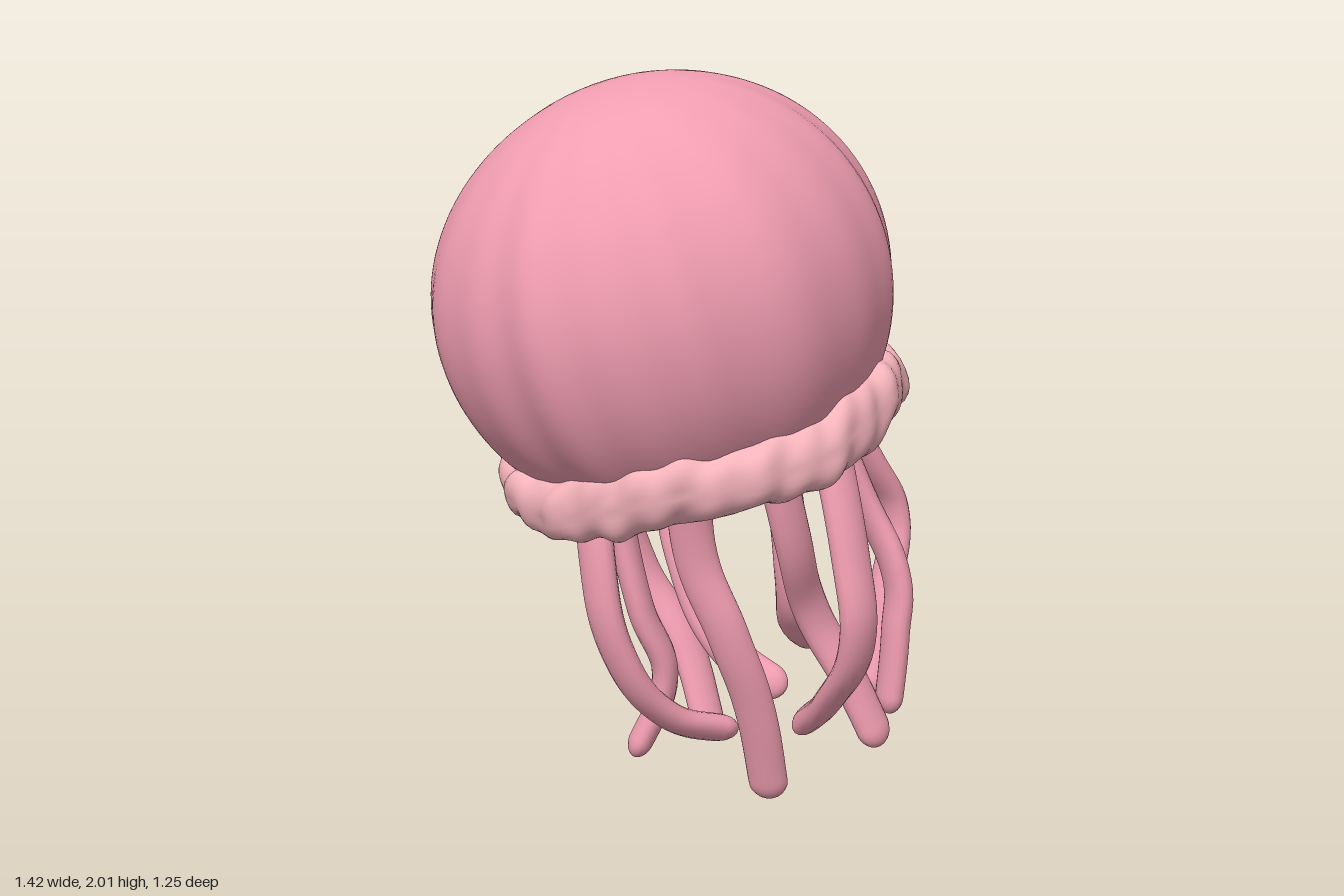
import * as THREE from 'three';
import { ParametricGeometry } from 'three/addons/geometries/ParametricGeometry.js';

const TAU = Math.PI * 2;
const pink = new THREE.MeshStandardMaterial({ color: 0xf09db0 });
const palePink = new THREE.MeshStandardMaterial({ color: 0xf5b3bb });

function surface(name, fn, slices, stacks, material) {
  const mesh = new THREE.Mesh(new ParametricGeometry(fn, slices, stacks), material);
  mesh.name = name;
  return mesh;
}

// Softly ribbed dome, local y along the bell's axis, rim at y = 0
function bellPoint(u, v, target) {
  const a = u * TAU;
  const phi = 0.0001 + v * 2.28;
  const ribs = 0.009 * Math.sin(17 * a + 1.2 * Math.sin(3 * a))
    + 0.009 * Math.sin(11 * a + 2)
    + 0.009 * Math.sin(6 * a + 1);
  const r = 0.622 * Math.sin(phi) * (1 + ribs * Math.sin(phi));
  const c = Math.cos(phi);
  const lean = 0.02 * Math.sin(phi) * Math.cos(a);
  target.set(r * Math.cos(a), 0.4 + (c > 0 ? (0.575 + lean) * c : 0.62 * c), r * Math.sin(a));
}

// Nearly flat underside closing the bell
function undersidePoint(u, v, target) {
  const a = u * TAU;
  const r = 0.5 * (1 - 0.9998 * v);
  target.set(r * Math.cos(a), 0.05 * (1 - (r / 0.5) ** 2), r * Math.sin(a));
}

// Broad lumpy ring around the opening
function rimPoint(u, v, target) {
  const s = u * TAU;
  const a = v * TAU;
  const lumps = 1
    + 0.05 * Math.sin(13 * a + 2 * s)
    + 0.04 * Math.sin(22 * a - s + 1 + Math.sin(3 * a))
    + 0.04 * Math.sin(29 * a + 3 * s + 2)
    + 0.06 * Math.sin(5 * a - 2 * s);
  const squared = (x) => Math.sign(x) * Math.abs(x) ** 0.8;
  const r = 0.482 + 0.09 * lumps * squared(Math.cos(s));
  const y = 0.092 * lumps * squared(Math.sin(s)) + 0.01 * Math.sin(4 * a);
  target.set(r * Math.cos(a), y, r * Math.sin(a));
}

// Flattened, round-ended strand that is widest across the outward direction
function makeTentacle(points) {
  const pts = points.map((p) => new THREE.Vector3(...p));
  pts[0].y = 1.11 + 0.29 * pts[0].x;
  const curve = new THREE.CatmullRomCurve3(pts, false, 'catmullrom', 0.6);
  const length = curve.getLength();
  const out = new THREE.Vector3(pts[1].x - 0.06, 0, pts[1].z).normalize();
  const side = new THREE.Vector3();
  const front = new THREE.Vector3();
  return surface('tentacle', (u, v, target) => {
    const t = (1 - Math.cos(Math.PI * v)) / 2;
    const tangent = curve.getTangentAt(t);
    side.crossVectors(tangent, out).normalize();
    front.crossVectors(tangent, side).normalize();
    const d = Math.min(1, (Math.min(t, 1 - t) * length) / 0.06);
    const k = Math.max(0.03, Math.sqrt(1 - (1 - d) ** 2)) * (1.04 - 0.12 * t);
    target.copy(curve.getPointAt(t))
      .addScaledVector(side, 0.06 * k * Math.cos(u * TAU))
      .addScaledVector(front, 0.04 * k * Math.sin(u * TAU));
  }, 16, 64, pink);
}

// Strand paths from root to tip
const paths = [
  [[-0.3, 1, 0.14], [-0.31, 0.75, 0.22], [-0.26, 0.48, 0.24], [-0.12, 0.27, 0.2], [0.09, 0.17, 0.13]],
  [[-0.24, 1, -0.08], [-0.2, 0.75, -0.06], [-0.15, 0.5, -0.03], [-0.08, 0.28, -0.03], [-0.17, 0.04, -0.04]],
  [[-0.16, 1, -0.32], [-0.15, 0.75, -0.41], [-0.08, 0.48, -0.43], [0.04, 0.26, -0.34], [0.1, 0.0, -0.23]],
  [[0.1, 1, -0.36], [0.03, 0.75, -0.41], [0.05, 0.5, -0.36], [0.14, 0.28, -0.26], [0.3, 0.16, -0.13]],
  [[0.26, 1, -0.32], [0.32, 0.75, -0.25], [0.34, 0.48, -0.21], [0.37, 0.31, -0.31], [0.45, 0.19, -0.47]],
  [[0.35, 1, -0.2], [0.56, 0.86, -0.25], [0.67, 0.64, -0.28], [0.62, 0.4, -0.21], [0.54, 0.13, -0.12]],
  [[0.33, 1, -0.07], [0.49, 0.81, -0.06], [0.59, 0.57, 0], [0.59, 0.38, 0.02], [0.57, 0.14, 0.03]],
  [[0.13, 1, 0.26], [0.22, 0.78, 0.24], [0.3, 0.53, 0.15], [0.41, 0.32, 0.17], [0.5, 0.12, 0.2]],
  [[0.27, 1, 0.33], [0.32, 0.8, 0.46], [0.34, 0.55, 0.48], [0.31, 0.34, 0.34], [0.29, 0.17, 0.12]],
  [[-0.08, 1, 0.34], [-0.06, 0.78, 0.29], [0.03, 0.53, 0.31], [0.11, 0.3, 0.29], [0.17, 0.01, 0.24]],
];

export function createModel() {
  const group = new THREE.Group();
  group.name = 'jellyfish';

  // Tilted bell with its rim
  const bell = new THREE.Group();
  bell.name = 'bell';
  bell.position.set(0.02, 1.035, 0);
  bell.rotation.z = 0.28;
  bell.add(
    surface('dome', bellPoint, 144, 48, pink),
    surface('underside', undersidePoint, 64, 10, pink),
    surface('rim', rimPoint, 32, 200, palePink),
  );
  group.add(bell);

  // Hanging strands
  const tentacles = new THREE.Group();
  tentacles.name = 'tentacles';
  for (const path of paths) tentacles.add(makeTentacle(path));
  group.add(tentacles);
  return group;
}
